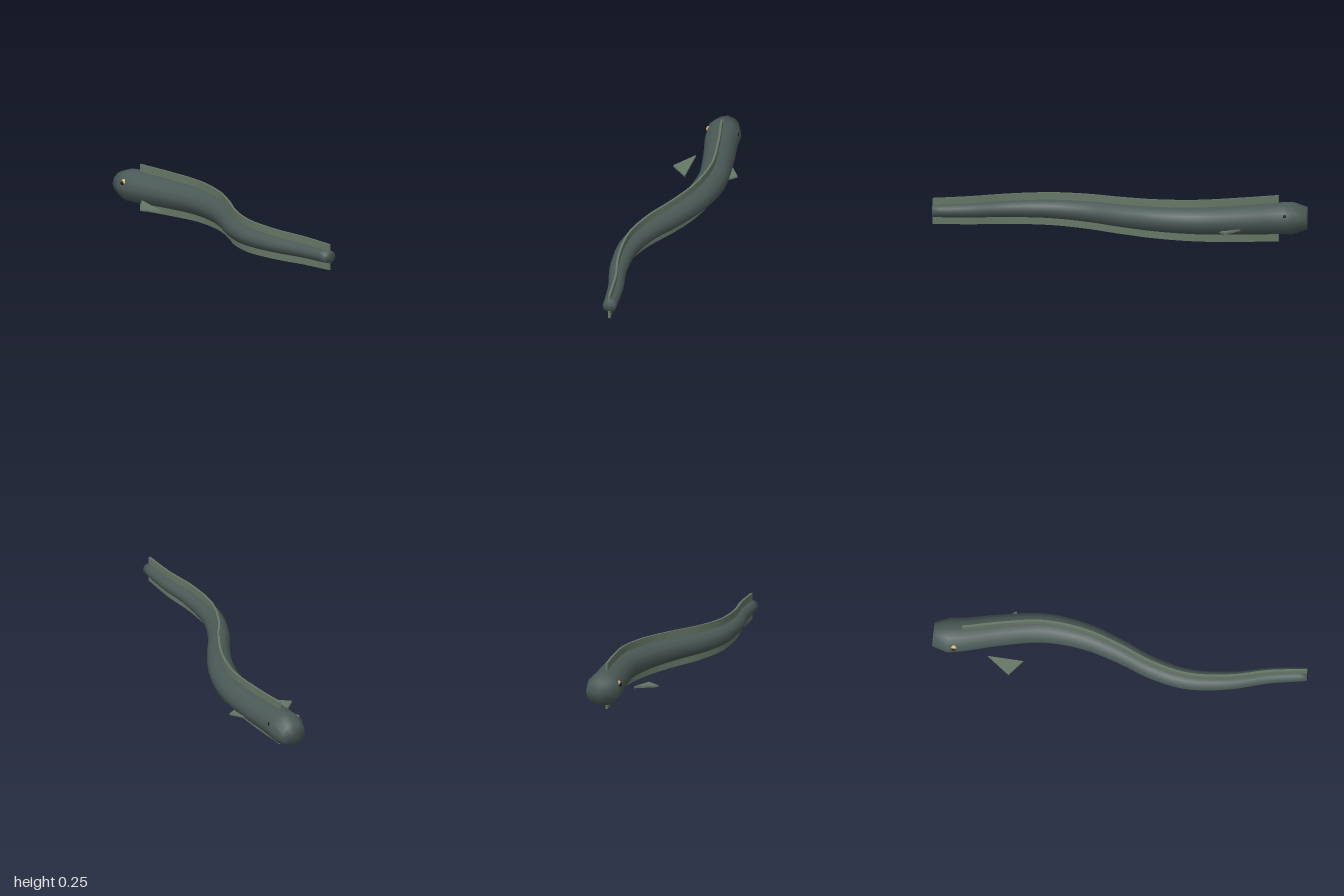
import * as THREE from 'three';
import { toCreasedNormals } from 'three/addons/utils/BufferGeometryUtils.js';

const MID_Y = 0.129;
const { lerp, mapLinear } = THREE.MathUtils;

// Swimming curve of the spine, as [x, z]
const spine = new THREE.CatmullRomCurve3([
  [-0.013, -1], [-0.008, -0.92], [0.004, -0.84], [0.05, -0.65], [0.088, -0.42], [0.067, -0.2],
  [0.003, 0], [-0.068, 0.17], [-0.112, 0.37], [-0.094, 0.6], [-0.044, 0.8], [-0.013, 1],
].map(([x, z]) => new THREE.Vector3(x, MID_Y, z)));
const spinePoints = spine.getPoints(400);

function spineX(z) {
  const i = Math.max(1, spinePoints.findIndex((p) => p.z >= z - 1e-6));
  const a = spinePoints[i - 1], b = spinePoints[i];
  return lerp(a.x, b.x, (z - a.z) / (b.z - a.z));
}

// Half width of the body: blunt snout, then an even taper to the tail
const bodyRadius = (z) => z < -0.92
  ? mapLinear(z, -1, -0.92, 0.067, 0.096)
  : mapLinear(z, -0.92, 1, 0.096, 0.037);

// Skin over closed rings running towards +z, with both ends capped
function loft(rings) {
  const n = rings[0].length, last = (rings.length - 1) * n;
  const pos = rings.flat(2), index = [];
  for (let i = 0; i < rings.length - 1; i++) {
    for (let j = 0; j < n; j++) {
      const a = i * n + j, b = i * n + (j + 1) % n;
      index.push(a, b, b + n, a, b + n, a + n);
    }
  }
  const start = rings.length * n;
  for (const ring of [rings[0], rings[rings.length - 1]]) {
    for (let k = 0; k < 3; k++) pos.push(ring.reduce((s, p) => s + p[k], 0) / n);
  }
  for (let j = 0; j < n; j++) {
    const k = (j + 1) % n;
    index.push(start, k, j, start + 1, last + j, last + k);
  }
  const geo = new THREE.BufferGeometry();
  geo.setAttribute('position', new THREE.Float32BufferAttribute(pos, 3));
  geo.setIndex(index);
  geo.computeVertexNormals();
  return geo;
}

// Body: twelve-sided, slightly wider than tall
function bodyGeometry() {
  const rings = [];
  const stations = [-1];
  for (let i = 0; i <= 48; i++) stations.push(lerp(-0.92, 1, i / 48));
  for (const z of stations) {
    const r = bodyRadius(z), ring = [];
    for (let j = 0; j < 12; j++) {
      const a = (j / 12) * Math.PI * 2;
      ring.push([spineX(z) + r * Math.cos(a), MID_Y + 0.93 * r * Math.sin(a), z]);
    }
    rings.push(ring);
  }
  return loft(rings);
}

// Long ribbon fin following the spine; side is 1 above, -1 below
function ribbonGeometry(side) {
  const rings = [];
  for (let i = 0; i <= 48; i++) {
    const z = lerp(-0.85, 1, i / 48), x = spineX(z), w = 0.006;
    const inner = MID_Y + side * bodyRadius(z) * 0.7;
    const outer = MID_Y + side * lerp(0.126, 0.07, i / 48);
    const lo = Math.min(inner, outer), hi = Math.max(inner, outer);
    rings.push([[x + w, lo, z], [x + w, hi, z], [x - w, hi, z], [x - w, lo, z]]);
  }
  return toCreasedNormals(loft(rings), 0.7);
}

// Small triangular side fin, a thin plate sloping down towards the tail
function sideFinGeometry() {
  const shape = new THREE.Shape([[0.092, -0.7], [0.18, -0.58], [0.092, -0.51]]
    .map(([x, z]) => new THREE.Vector2(x, -z)));
  const geo = new THREE.ExtrudeGeometry(shape, { depth: 0.011, bevelEnabled: false });
  geo.rotateX(-Math.PI / 2);
  const p = geo.attributes.position;
  for (let i = 0; i < p.count; i++) {
    p.setY(i, p.getY(i) + mapLinear(p.getZ(i), -0.7, -0.51, 0.091, 0.071));
  }
  geo.computeVertexNormals();
  return geo;
}

export function createModel() {
  const model = new THREE.Group();
  model.name = 'eel';
  const material = (color) => new THREE.MeshStandardMaterial({ color });
  const skin = material(0x4b5a57), finSkin = material(0x667766);
  const iris = material(0xd9b070), black = material(0x111111);
  finSkin.side = THREE.DoubleSide;

  function add(name, geo, mat, x = 0, y = 0, z = 0) {
    const mesh = new THREE.Mesh(geo, mat);
    mesh.name = name;
    mesh.position.set(x, y, z);
    model.add(mesh);
    return mesh;
  }

  add('body', bodyGeometry(), skin);
  add('topFin', ribbonGeometry(1), finSkin);
  add('bottomFin', ribbonGeometry(-1), finSkin);

  // Paired parts, mirrored across the middle
  for (const [side, label] of [[1, 'left'], [-1, 'right']]) {
    add(label + 'SideFin', sideFinGeometry(), finSkin).scale.x = side;
    const eyeX = side * 0.072 - 0.008;
    add(label + 'Eye', new THREE.SphereGeometry(0.018, 12, 8), iris, eyeX, 0.16, -0.885);
    add(label + 'Pupil', new THREE.SphereGeometry(0.012, 10, 8), black, eyeX + side * 0.011, 0.157, -0.885);
  }
  return model;
}
